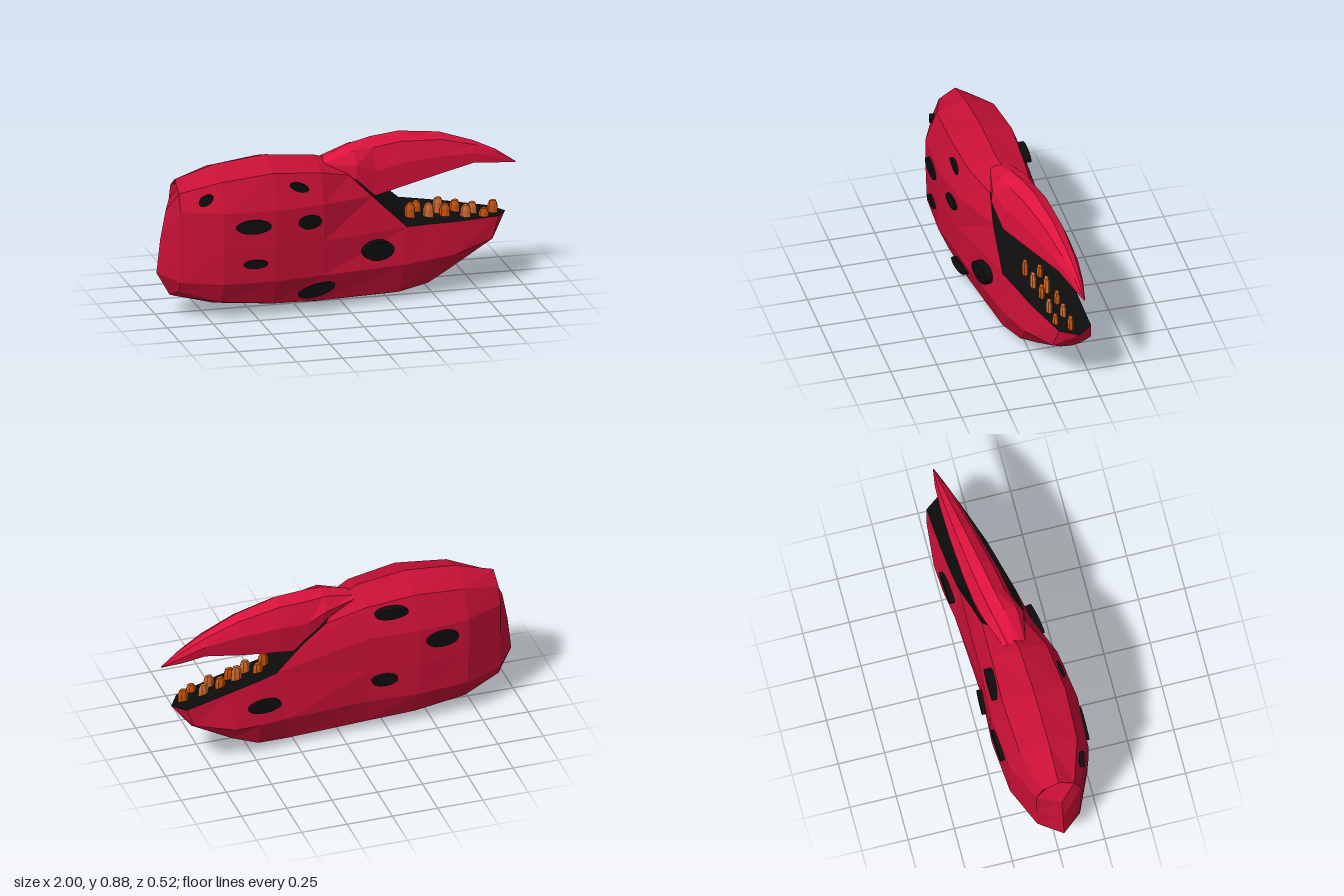
import * as THREE from 'three';

const shellRed = new THREE.MeshStandardMaterial({ color: 0xc61035 });
const fingerRed = new THREE.MeshStandardMaterial({ color: 0xdc123c });
const black = new THREE.MeshStandardMaterial({ color: 0x0d0d0d });
const orange = new THREE.MeshStandardMaterial({ color: 0xcf6a30 });
const darkOrange = new THREE.MeshStandardMaterial({ color: 0xc8540c });
[shellRed, fingerRed, black, orange, darkOrange].forEach((m, i) => {
  m.name = ['shellRed', 'fingerRed', 'black', 'orange', 'darkOrange'][i];
});

// Faceted skin through a list of cross-sections (each a list of [x, y, z])
function loft(rings, closed = false) {
  const pos = [];
  for (let i = 0; i + 1 < rings.length; i++) {
    const n = rings[i].length;
    for (let j = 0; j < (closed ? n : n - 1); j++) {
      const k = (j + 1) % n;
      const a = rings[i][j], b = rings[i + 1][j], c = rings[i + 1][k], d = rings[i][k];
      pos.push(...a, ...b, ...c, ...a, ...c, ...d);
    }
  }
  const g = new THREE.BufferGeometry();
  g.setAttribute('position', new THREE.Float32BufferAttribute(pos, 3));
  g.computeVertexNormals();
  return g;
}

function add(parent, name, geometry, material) {
  const mesh = new THREE.Mesh(geometry, material);
  mesh.name = name;
  parent.add(mesh);
  return mesh;
}

// Palm cross-section: bottom, up the front, over the top, down the back
function palmRing(x, bottom, top, c, w) {
  const front = [[0.72, bottom + 0.05], [0.97, 0.21], [1, 0.4], [1, 0.6], [0.72, top - 0.055]];
  return [
    [x, bottom, c],
    ...front.map(([s, y]) => [x, y, c + s * w]),
    [x, top, c],
    ...front.slice().reverse().map(([s, y]) => [x, y, c - s * w]),
  ];
}

function buildPalm(group) {
  // Narrow upright edge at the wrist end
  const half = [[-0.93, 0.115], [-0.93, 0.117], [-1, 0.24], [-0.98, 0.42], [-0.95, 0.58], [-0.86, 0.72], [-0.86, 0.722]];
  const keel = [...half, ...half.slice(1, 6).reverse()].map(([x, y]) => [x, y, 0.03]);
  // Slanted end at the mouth
  const cut = [
    [0.27, 0.005, -0.04], [0.3, 0.05, 0.09], [0.32, 0.21, 0.135],
    [0.34, 0.405, 0.1], [0.15, 0.59, 0.1], [0.03, 0.71, 0.085],
    [-0.02, 0.77, -0.03],
    [0.08, 0.7, -0.14], [0.22, 0.61, -0.165], [0.37, 0.48, -0.19],
    [0.32, 0.21, -0.225], [0.3, 0.05, -0.16],
  ];
  add(group, 'palm', loft([
    keel,
    palmRing(-0.9, 0.105, 0.745, 0.025, 0.12),
    palmRing(-0.69, 0.05, 0.81, 0.025, 0.215),
    palmRing(-0.41, 0.022, 0.84, 0.018, 0.235),
    palmRing(-0.14, 0.008, 0.812, 0.005, 0.208),
    cut,
  ], true), shellRed);

  // Lower finger: open troughs running back edge, bottom, front edge
  const tip = Array.from({ length: 7 }, () => [0.94, 0.37, -0.155]);
  const jaw = [
    [9, 10, 11, 0, 1, 2, 3].map((i) => cut[i]),
    [[0.47, 0.46, -0.205], [0.47, 0.215, -0.25], [0.47, 0.07, -0.19], [0.46, 0.03, -0.07],
      [0.47, 0.07, 0.04], [0.47, 0.215, 0.1], [0.47, 0.398, 0.065]],
    [[0.63, 0.43, -0.22], [0.62, 0.22, -0.262], [0.62, 0.135, -0.2], [0.62, 0.1, -0.1],
      [0.62, 0.135, -0.01], [0.62, 0.22, 0.058], [0.63, 0.388, 0.025]],
    [[0.88, 0.378, -0.235], [0.84, 0.28, -0.245], [0.84, 0.25, -0.19], [0.84, 0.24, -0.14],
      [0.84, 0.245, -0.08], [0.84, 0.26, -0.035], [0.88, 0.373, -0.06]],
    tip,
  ];
  add(group, 'lowerFinger', loft(jaw), shellRed);
  add(group, 'mouthFloor', loft(jaw.map((r) => [r[6], r[0]])), black);
  add(group, 'mouthWall', loft([[6, 6], [5, 7], [4, 8], [3, 9]].map(([f, b]) => [cut[f], cut[b]])), black);
}

function buildUpperFinger(group) {
  // x, lower edge, ridge, front z, back z
  const stations = [
    [-0.1, 0.76, 0.79, 0.05, -0.07],
    [0.07, 0.68, 0.855, 0.088, -0.13],
    [0.18, 0.575, 0.872, 0.055, -0.15],
    [0.34, 0.605, 0.88, 0.02, -0.175],
    [0.57, 0.64, 0.845, -0.04, -0.192],
    [0.76, 0.668, 0.775, -0.09, -0.195],
    [0.89, 0.645, 0.71, -0.13, -0.188],
    [1.0, 0.628, 0.632, -0.165, -0.17],
  ];
  const section = [[0, 0], [0.02, 0.45], [0.2, 0.85], [0.5, 1], [0.8, 0.88], [1, 0.5], [0.9, -0.08]];
  const rings = stations.map(([x, low, top, zf, zb]) =>
    section.map(([t, s]) => [x, low + (top - low) * s, zf + (zb - zf) * t]));
  add(group, 'upperFinger', loft(rings), fingerRed);
  add(group, 'upperFingerUnderside', loft(rings.map((r) => [r[6], r[0]])), black);
  // Root cap, buried in the palm
  const r = rings[0];
  add(group, 'upperFingerRoot', loft([[r[3], r[3]], [r[2], r[4]], [r[1], r[5]], [r[0], r[6]]].reverse()), fingerRed);
}

function buildTeeth(group) {
  const profile = [[1, -0.5], [0.92, 0.15], [0.6, 0.42], [0, 0.5]].map(([x, y]) => new THREE.Vector2(x, y));
  const geo = new THREE.LatheGeometry(profile, 7).toNonIndexed();
  geo.computeVertexNormals();
  // x, top, z
  const rows = {
    frontTooth: [[0.385, 0.505, -0.01], [0.49, 0.492, -0.025], [0.585, 0.475, -0.045], [0.7, 0.458, -0.055], [0.8, 0.43, -0.062]],
    backTooth: [[0.435, 0.495, -0.075], [0.555, 0.502, -0.08], [0.655, 0.472, -0.11], [0.75, 0.45, -0.118], [0.865, 0.448, -0.127]],
  };
  for (const [name, list] of Object.entries(rows)) {
    list.forEach(([x, top, z], i) => {
      const tooth = add(group, name, geo, i % 2 ? orange : darkOrange);
      tooth.scale.set(0.031, 0.095, 0.018);
      tooth.position.set(x, top - 0.0475, z);
    });
  }
}

function buildSpots(group) {
  const geo = new THREE.CylinderGeometry(1, 1, 1, 14).rotateX(Math.PI / 2).toNonIndexed();
  geo.computeVertexNormals();
  // x, y, z, half width, half height, depth, roll, yaw
  const spots = [
    [-0.53, 0.52, 0.248, 0.095, 0.038, 0.03, 0, 0],
    [-0.22, 0.515, 0.218, 0.066, 0.038, 0.03, 0, 0.13],
    [-0.27, 0.7, 0.185, 0.055, 0.024, 0.04, -0.35, 0.1],
    [-0.77, 0.665, 0.178, 0.042, 0.024, 0.04, 0.6, -0.2],
    [-0.52, 0.315, 0.246, 0.065, 0.023, 0.03, 0, 0],
    [0.165, 0.31, 0.157, 0.088, 0.052, 0.055, 0, 0.2],
    [-0.175, 0.13, 0.18, 0.102, 0.034, 0.05, 0.2, 0.1],
    [-0.27, 0.72, -0.172, 0.09, 0.032, 0.05, 0, 0],
    [-0.54, 0.53, -0.21, 0.09, 0.045, 0.03, 0, 0.05],
    [-0.22, 0.34, -0.213, 0.07, 0.032, 0.035, 0, -0.03],
    [0.45, 0.32, -0.234, 0.092, 0.036, 0.03, 0, 0.08],
  ];
  for (const [x, y, z, w, h, depth, roll, yaw] of spots) {
    const spot = add(group, z > 0 ? 'frontSpot' : 'backSpot', geo, black);
    spot.position.set(x, y, z);
    spot.scale.set(w, h, depth);
    spot.rotation.set(0, yaw, roll);
  }
}

export function createModel() {
  const claw = new THREE.Group();
  claw.name = 'claw';
  for (const [name, build] of [['lowerClaw', buildPalm], ['upperClaw', buildUpperFinger], ['teeth', buildTeeth], ['spots', buildSpots]]) {
    const part = new THREE.Group();
    part.name = name;
    build(part);
    claw.add(part);
  }
  return claw;
}
